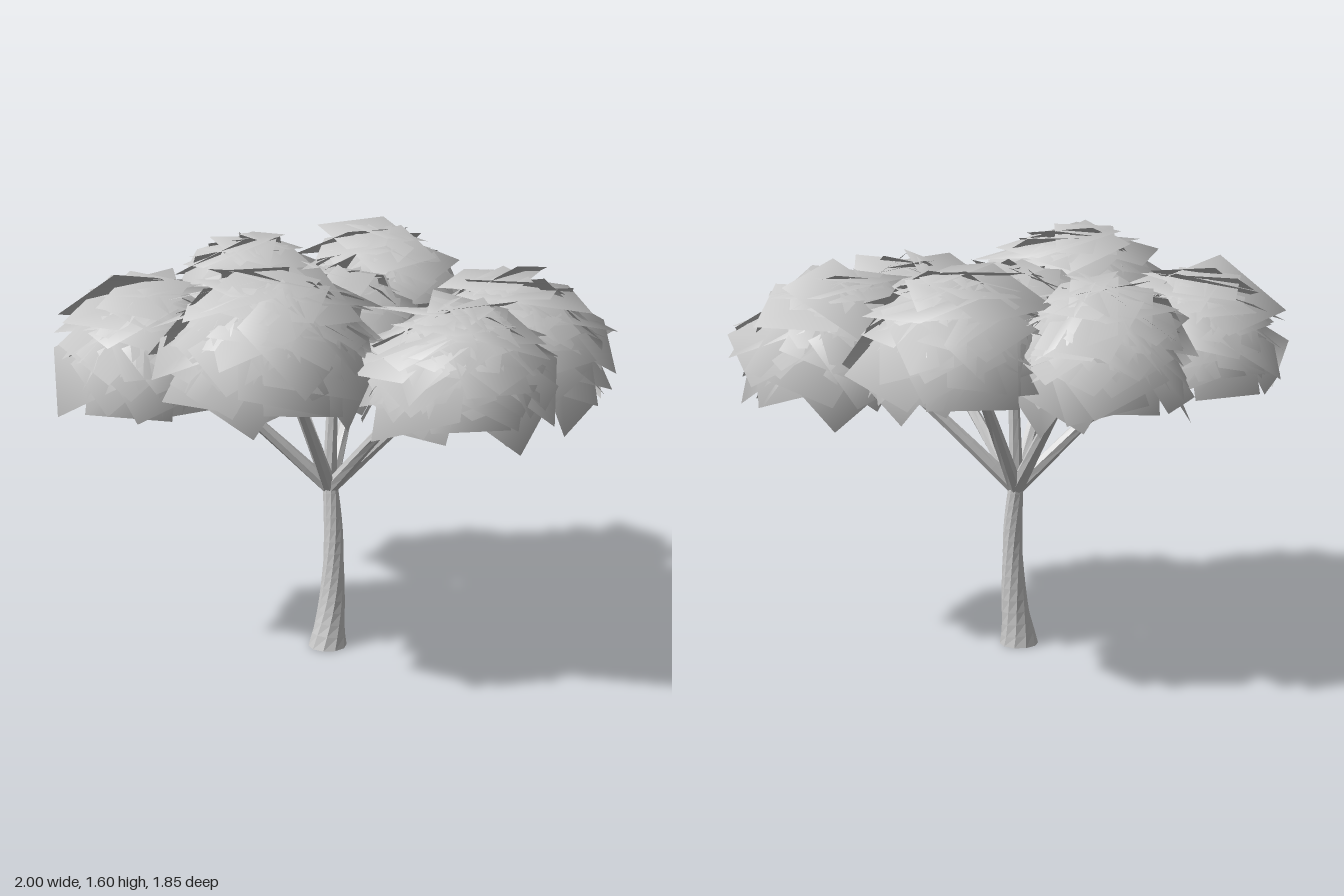
import * as THREE from 'three';
import { mergeGeometries } from 'three/addons/utils/BufferGeometryUtils.js';

// Small seeded generator, so the foliage is the same every time
let seed = 7;
function rand(a = 0, b = 1) {
  seed = (Math.imul(seed, 1664525) + 1013904223) >>> 0;
  return a + (b - a) * (seed / 4294967296);
}

const bark = new THREE.MeshStandardMaterial({ color: 0xcccccc, flatShading: true, side: THREE.DoubleSide });
const leaf = new THREE.MeshStandardMaterial({ color: 0xcccccc, side: THREE.DoubleSide });
const v = (x, y, z) => new THREE.Vector3(x, y, z);

// Leaf clumps: centre x, y, z, horizontal radius, height of the dome, reach of the branch
const CLUMPS = [
  [-0.33, 1.22, -0.52, 0.26, 0.31, 0.9],
  [0.41, 1.13, -0.48, 0.30, 0.32, 0.9],
  [-0.64, 1.19, -0.13, 0.26, 0.31, 0.9],
  [-0.02, 1.18, 0.00, 0.28, 0.30, 0.9],
  [0.63, 1.16, 0.01, 0.27, 0.30, 0.7],
  [-0.41, 1.14, 0.57, 0.26, 0.31, 0.9],
  [0.21, 1.25, 0.52, 0.30, 0.32, 0.9],
];

// Tapered hollow limb along a curve, with a chosen radius and twist at each step
function limb(points, radiusAt, sides, steps, twist) {
  const curve = new THREE.CatmullRomCurve3(points);
  const geo = new THREE.CylinderGeometry(1, 1, 1, sides, steps, true);
  const pos = geo.attributes.position;
  const p = v(0, 0, 0), q = new THREE.Quaternion(), up = v(0, 1, 0);
  for (let i = 0; i < pos.count; i++) {
    p.fromBufferAttribute(pos, i);
    const t = THREE.MathUtils.clamp(p.y + 0.5, 0, 1);
    p.y = 0;
    p.multiplyScalar(radiusAt(t)).applyAxisAngle(up, twist * t);
    // The foot of the trunk stays level
    if (t > 0 || points[0].y > 0) p.applyQuaternion(q.setFromUnitVectors(up, curve.getTangentAt(t)));
    p.add(curve.getPointAt(t));
    pos.setXYZ(i, p.x, p.y, p.z);
  }
  geo.computeVertexNormals();
  return new THREE.Mesh(geo, bark);
}

// Dome of large square cards, shaded as one rounded mass
function clump([cx, cy, cz, radius, height], count) {
  const cards = [];
  const dummy = new THREE.Object3D();
  const n = v(0, 0, 0), p = v(0, 0, 0);
  for (let i = 0; i < count; i++) {
    // Even spiral over the dome, from the crown to the rim
    const up = 1 - (i + 0.5) / count;
    const ring = Math.sqrt(1 - up * up), a = i * 2.39996 + rand(-0.25, 0.25);
    const r = rand(0.8, 1);
    dummy.position.set(radius * r * ring * Math.cos(a), height * r * Math.pow(up, 1.2), radius * r * ring * Math.sin(a));
    // Rim cards lean upward so their tips point out and down
    n.set(ring * Math.cos(a), up + 0.45, ring * Math.sin(a));
    n.add(p.set(rand(-0.35, 0.35), rand(-0.3, 0.3), rand(-0.35, 0.35)));
    dummy.lookAt(p.copy(dummy.position).add(n));
    dummy.rotateZ(rand(0, Math.PI * 2));
    dummy.updateMatrix();
    const size = radius * rand(0.85, 1.3);
    const card = new THREE.PlaneGeometry(size, size * rand(0.85, 1.1)).applyMatrix4(dummy.matrix);
    // Normals fan out from inside the clump
    const pos = card.attributes.position;
    for (let k = 0; k < pos.count; k++) {
      n.fromBufferAttribute(pos, k);
      n.y += 0.1;
      n.normalize();
      card.attributes.normal.setXYZ(k, n.x, n.y, n.z);
    }
    cards.push(card);
  }
  const mesh = new THREE.Mesh(mergeGeometries(cards), leaf);
  mesh.position.set(cx, cy, cz);
  return mesh;
}

export function createModel() {
  const tree = new THREE.Group();
  tree.name = 'tree';

  // Twisted trunk with a flared foot
  const trunk = limb(
    [v(-0.008, 0, 0.045), v(-0.006, 0.2, 0.022), v(-0.01, 0.45, 0.012), v(-0.03, 0.66, 0.012)],
    t => 0.03 + 0.022 * (1 - t) + 0.023 * Math.pow(1 - t, 5), 10, 14, 1.6);
  trunk.name = 'trunk';
  tree.add(trunk);

  // One branch reaching up into each clump
  const branches = new THREE.Group();
  branches.name = 'branches';
  const fork = v(-0.03, 0.63, 0.012);
  CLUMPS.forEach(([x, y, z, , , reach], i) => {
    const end = fork.clone().lerp(v(x * 0.9, y + 0.06, z * 0.9), reach);
    const mid = fork.clone().lerp(end, 0.5);
    mid.y += 0.008;
    const branch = limb([fork, mid, end], t => 0.029 - 0.012 * t, 7, 6, 0.5);
    branch.name = 'branch' + (i + 1);
    branches.add(branch);
  });
  tree.add(branches);

  // Foliage
  const foliage = new THREE.Group();
  foliage.name = 'foliage';
  CLUMPS.forEach((c, i) => {
    const mesh = clump(c, 60);
    mesh.name = 'leafClump' + (i + 1);
    foliage.add(mesh);
  });
  tree.add(foliage);
  return tree;
}
